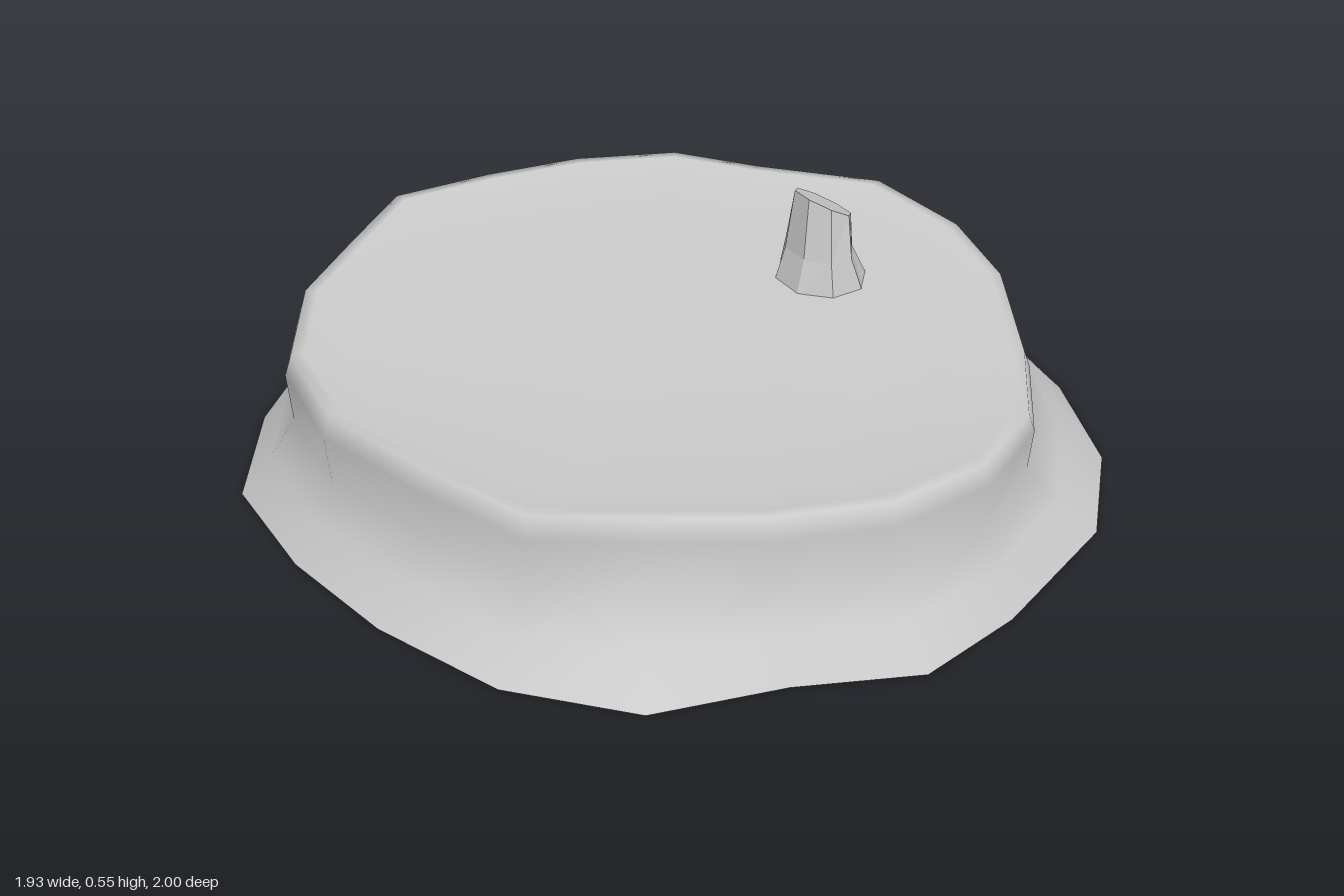
import * as THREE from 'three';

// Irregular outlines as [x, z], starting at the back and running clockwise seen from above
const FOOT = [[-0.29, -1], [-0.04, -0.985], [0.23, -1], [0.59, -0.855], [0.75, -0.6], [0.92, -0.345], [0.965, -0.03],
  [0.92, 0.29], [0.8, 0.58], [0.59, 0.8], [0.23, 0.945], [-0.03, 0.995], [-0.29, 0.88], [-0.58, 0.8],
  [-0.79, 0.575], [-0.91, 0.27], [-0.965, -0.03], [-0.96, -0.345], [-0.79, -0.62], [-0.57, -0.83]];
const RIM = [[-0.29, -0.905], [-0.03, -0.89], [0.21, -0.85], [0.45, -0.745], [0.59, -0.56], [0.81, -0.32], [0.838, -0.03],
  [0.785, 0.21], [0.62, 0.5], [0.45, 0.72], [0.22, 0.85], [-0.03, 0.875], [-0.28, 0.785], [-0.49, 0.655],
  [-0.69, 0.52], [-0.79, 0.26], [-0.872, -0.03], [-0.84, -0.31], [-0.69, -0.57], [-0.49, -0.74]];
// Rim sags at the front left
const SAG = { 6: 0.007, 7: 0.022, 8: 0.04, 9: 0.035, 10: 0.012 };

// Joins rings of points, bottom to top, and closes the last ring with a centre point
function loft(rings, centre) {
  const n = rings[0].length, index = [];
  const points = [...rings.flat(), centre];
  for (let r = 0; r < rings.length; r++) {
    for (let i = 0; i < n; i++) {
      const a = r * n + i, b = r * n + (i + 1) % n;
      if (r === rings.length - 1) index.push(a, points.length - 1, b);
      else index.push(a, a + n, b, b, a + n, b + n);
    }
  }
  const g = new THREE.BufferGeometry();
  g.setAttribute('position', new THREE.Float32BufferAttribute(points.flat(), 3));
  g.setIndex(index);
  g.computeVertexNormals();
  return g;
}

// Ring between foot (t = 0) and rim (t = 1), scaled and raised
function bodyRing([t, scale, y, sag]) {
  return FOOT.map(([x, z], i) => [
    THREE.MathUtils.lerp(x, RIM[i][0], t) * scale,
    y - (SAG[i] || 0) * sag,
    THREE.MathUtils.lerp(z, RIM[i][1], t) * scale,
  ]);
}

export function createModel() {
  const group = new THREE.Group();
  const smooth = new THREE.MeshStandardMaterial({ color: 0xcccccc });
  const faceted = new THREE.MeshStandardMaterial({ color: 0xcccccc, flatShading: true });
  const add = (name, geometry, material) => {
    const mesh = new THREE.Mesh(geometry, material);
    mesh.name = name;
    group.add(mesh);
  };

  // Flared skirt, waist, rounded rim and shallow dished top
  const profile = [[0, 1, 0, 0], [0.55, 0.995, 0.09, 0], [1, 0.99, 0.18, 0.2], [1, 1, 0.295, 0.7],
    [1, 0.982, 0.345, 1], [1, 0.95, 0.345, 1], [1, 0.85, 0.327, 0.5], [1, 0.6, 0.322, 0], [1, 0.3, 0.32, 0]];
  add('base', loft(profile.map(bodyRing), [0, 0.322, 0]), smooth);

  // Flat underside
  const underside = new THREE.ShapeGeometry(new THREE.Shape(FOOT.map(([x, z]) => new THREE.Vector2(x, z))));
  underside.rotateX(Math.PI / 2);
  add('underside', underside, faceted);

  // Broken eight-sided stump with a slanted top: [centre x, radius x, radius z, height, slope]
  const sections = [[0.41, 0.113, 0.122, 0.305, 0], [0.4, 0.075, 0.1, 0.4, 0], [0.408, 0.066, 0.075, 0.515, -0.55]];
  const stump = sections.map(([cx, rx, rz, y, slope]) => Array.from({ length: 8 }, (_, i) => {
    const a = (i + 0.5) * Math.PI / 4, dx = Math.cos(a) * rx;
    return [cx + dx, y + dx * slope, -0.022 + Math.sin(a) * rz];
  }));
  add('stump', loft(stump, [0.408, 0.515, -0.022]), faceted);

  return group;
}
